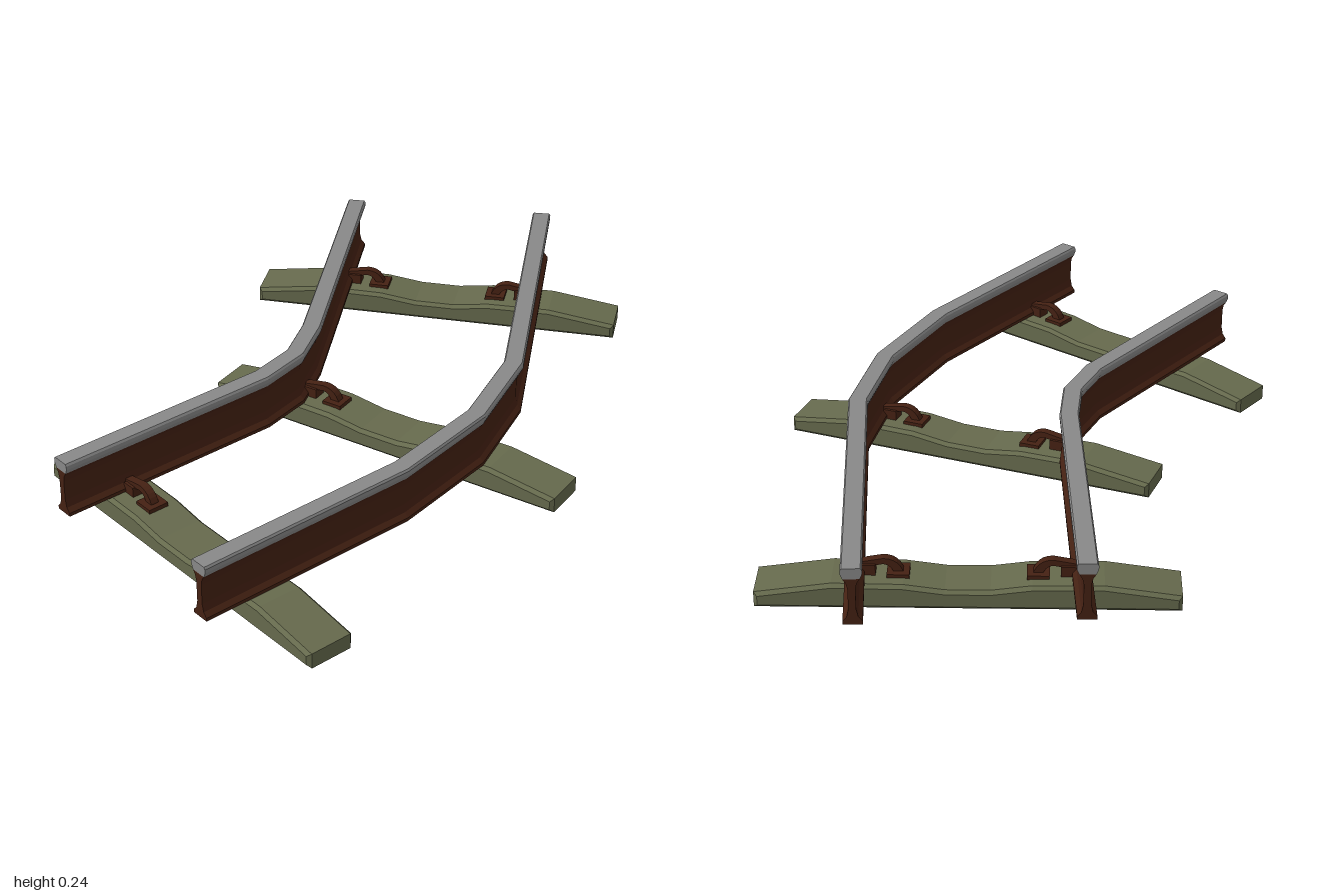
import * as THREE from 'three';

const mat = (color) => new THREE.MeshStandardMaterial({ color, flatShading: true });
const steel = mat(0x888888);
const rust = mat(0x452113);
const concrete = mat(0x666a4d);

// Closed shape from a half outline, mirrored about x = 0
function mirrored(half) {
  const other = half.map(([x, y]) => [-x, y]).reverse();
  return new THREE.Shape([...half, ...other].map(([x, y]) => new THREE.Vector2(x, y)));
}

// Sweep a cross-section along [x, z] points with mitred corners
function sweep(shape, path) {
  const n = path.length - 1;
  const pts = path.map(([x, z]) => new THREE.Vector2(x, z));
  const dirs = pts.slice(1).map((p, i) => p.clone().sub(pts[i]).normalize());
  const sides = pts.map((p, i) => {
    const a = dirs[Math.max(i - 1, 0)], b = dirs[Math.min(i, n - 1)];
    const mid = a.clone().add(b).normalize();
    return new THREE.Vector2(mid.y, -mid.x).divideScalar(mid.dot(a));
  });
  const geo = new THREE.ExtrudeGeometry(shape, { depth: n, steps: n, bevelEnabled: false });
  const pos = geo.attributes.position;
  for (let k = 0; k < pos.count; k++) {
    const u = pos.getX(k), i = Math.round(pos.getZ(k));
    pos.setX(k, pts[i].x + sides[i].x * u);
    pos.setZ(k, pts[i].y + sides[i].y * u);
  }
  geo.computeVertexNormals();
  return geo;
}

// Outline extruded across a width, running along z
function slab(shape, width, bevel) {
  const geo = new THREE.ExtrudeGeometry(shape, {
    depth: width - 2 * bevel, bevelEnabled: bevel > 0, bevelSize: bevel,
    bevelThickness: bevel, bevelOffset: -bevel, bevelSegments: 1, curveSegments: 6,
  });
  geo.translate(0, 0, -width / 2 + bevel);
  geo.rotateY(-Math.PI / 2);
  return geo;
}

function add(parent, name, geo, material) {
  const mesh = new THREE.Mesh(geo, material);
  mesh.name = name;
  parent.add(mesh);
  return mesh;
}

export function createModel() {
  const model = new THREE.Group();
  model.name = 'curvedTrack';

  // Rail section: rusty foot and web, worn steel head
  const body = mirrored([
    [0.026, 0.075], [0.026, 0.085], [0.015, 0.098], [0.01, 0.12],
    [0.01, 0.18], [0.014, 0.198], [0.022, 0.21],
  ]);
  const head = mirrored([[0.022, 0.21], [0.028, 0.224], [0.028, 0.235], [0.024, 0.241]]);
  const paths = {
    innerRail: [[-1, -0.06], [-0.32, -0.06], [-0.17, -0.095], [-0.04, -0.18], [0.588, -0.71]],
    outerRail: [[-1, 0.543], [-0.33, 0.543], [0, 0.48], [0.265, 0.352], [0.975, -0.255]],
  };
  for (const [name, path] of Object.entries(paths)) {
    const rail = new THREE.Group();
    rail.name = name;
    add(rail, 'railBody', sweep(body, path), rust);
    add(rail, 'railHead', sweep(head, path), steel);
    model.add(rail);
  }

  // Sleeper: raised under both rails, dipped in the middle
  const sleeperGeo = slab(mirrored([
    [0.565, 0], [0.565, 0.045], [0.36, 0.074], [0.17, 0.072], [0.06, 0.057],
  ]), 0.145, 0.01);

  // Spring clip: plate and an arched arm reaching to the rail foot
  const armShape = new THREE.Shape();
  armShape.moveTo(0.168, 0.07);
  armShape.quadraticCurveTo(0.18, 0.12, 0.225, 0.12);
  armShape.lineTo(0.29, 0.108);
  armShape.lineTo(0.288, 0.09);
  armShape.lineTo(0.225, 0.103);
  armShape.quadraticCurveTo(0.2, 0.1, 0.195, 0.07);
  const armGeo = slab(armShape, 0.024, 0);
  const plateGeo = new THREE.BoxGeometry(0.062, 0.016, 0.06).translate(0, 0.074, 0.185);
  const padGeo = new THREE.BoxGeometry(0.04, 0.035, 0.04).translate(0, 0.085, 0.265);

  for (const [x, z, angle] of [[-0.797, 0.245, 0], [-0.028, 0.16, 0.292], [0.595, -0.325, 0.647]]) {
    const tie = new THREE.Group();
    tie.name = 'sleeperSet';
    add(tie, 'sleeper', sleeperGeo, concrete);
    for (const turn of [0, Math.PI]) {
      const clip = new THREE.Group();
      clip.name = 'railClip';
      add(clip, 'clipPlate', plateGeo, rust);
      add(clip, 'clipArm', armGeo, rust);
      add(clip, 'clipPad', padGeo, rust);
      clip.rotation.y = turn;
      tie.add(clip);
    }
    tie.position.set(x, 0, z);
    tie.rotation.y = angle;
    model.add(tie);
  }
  return model;
}
